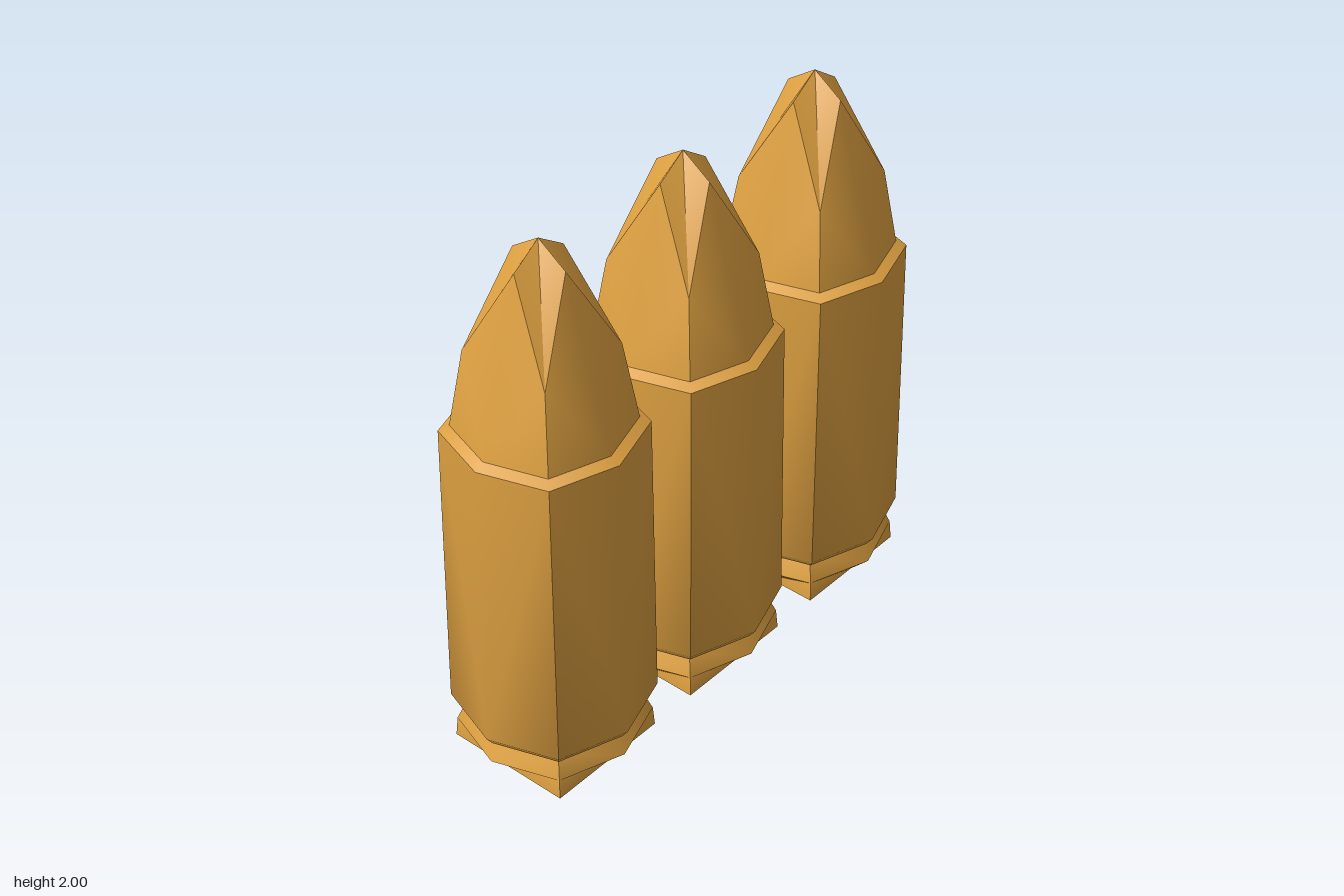
import * as THREE from 'three';
import { toCreasedNormals } from 'three/addons/utils/BufferGeometryUtils.js';

// Eight-sided ring: even corners lie on the x/z axes, odd corners on the diagonals.
// axisR, axisY: distance and height of axis corners; diag, diagY: x = z offset and height of diagonal corners.
function ring([axisR, axisY, diag, diagY]) {
  return Array.from({ length: 8 }, (_, i) => {
    const a = (i * Math.PI) / 4;
    const odd = i % 2 === 1;
    const r = odd ? diag * Math.SQRT2 : axisR;
    return [Math.cos(a) * r, odd ? diagY : axisY, Math.sin(a) * r];
  });
}

// Skin the rings from bottom to top, with optional centre points closing the ends.
function skin(rows, bottom, top) {
  const rings = rows.map(ring);
  const pos = [];
  const tri = (a, b, c) => pos.push(...a, ...b, ...c);
  for (let i = 0; i < 8; i++) {
    const j = (i + 1) % 8;
    for (let k = 0; k + 1 < rings.length; k++) {
      const lo = rings[k], hi = rings[k + 1];
      // mirrored diagonals keep the form symmetric
      if (i % 2 === 0) {
        tri(lo[i], hi[j], lo[j]);
        tri(lo[i], hi[i], hi[j]);
      } else {
        tri(lo[i], hi[i], lo[j]);
        tri(hi[i], hi[j], lo[j]);
      }
    }
    if (bottom !== undefined) tri([0, bottom, 0], rings[0][i], rings[0][j]);
    const last = rings[rings.length - 1];
    if (top !== undefined) tri(last[i], [0, top, 0], last[j]);
  }
  const g = new THREE.BufferGeometry();
  g.setAttribute('position', new THREE.Float32BufferAttribute(pos, 3));
  return toCreasedNormals(g, THREE.MathUtils.degToRad(42));
}

const level = (y, axisR, diag) => [axisR, y, diag, y];

export function createModel() {
  const brass = new THREE.MeshStandardMaterial({ color: 0xdc9f40 });
  brass.name = 'brass';

  const parts = {
    // flared base whose underside narrows to a square
    rim: skin([level(0, 0.24, 0.24), level(0.075, 0.315, 0.235), level(0.15, 0.28, 0.21)], 0),
    // slightly tapered case with bevelled ends
    case: skin(
      [level(0.15, 0.28, 0.21), level(0.151, 0.305, 0.228), level(0.185, 0.33, 0.247),
        level(1.295, 0.315, 0.238), level(1.315, 0.28, 0.212)]),
    // pointed head: diagonal shoulders sit lower than the axis ridges
    head: skin([level(1.315, 0.28, 0.212), [0.11, 1.925, 0.175, 1.6]], undefined, 2),
  };

  const model = new THREE.Group();
  model.name = 'cartridges';
  ['right', 'middle', 'left'].forEach((side, i) => {
    const cartridge = new THREE.Group();
    cartridge.name = `${side}Cartridge`;
    for (const [name, geometry] of Object.entries(parts)) {
      const mesh = new THREE.Mesh(geometry, brass);
      mesh.name = name;
      cartridge.add(mesh);
    }
    cartridge.position.x = (i - 1) * 0.667;
    model.add(cartridge);
  });
  return model;
}
